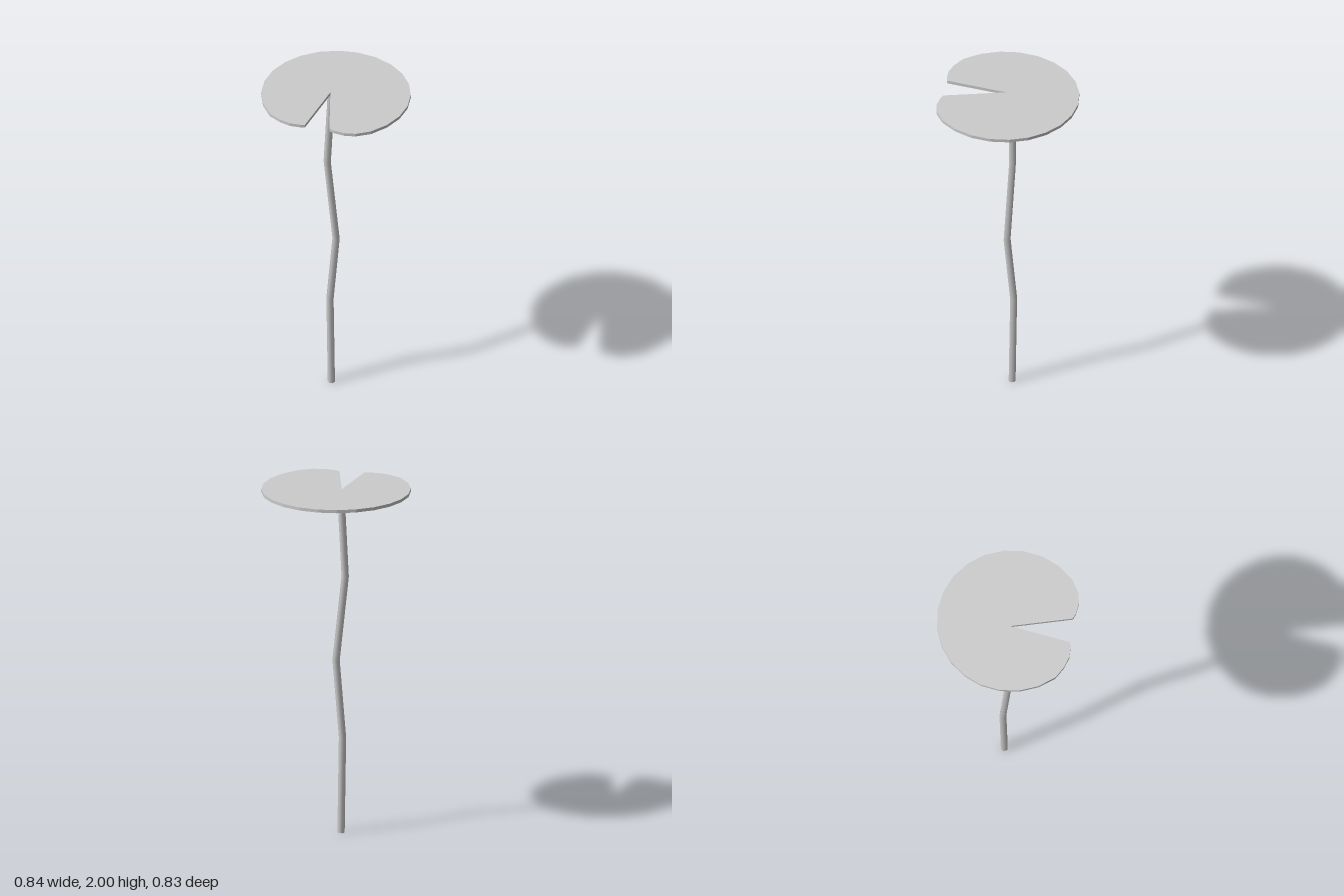
import * as THREE from 'three';
import { mergeVertices } from 'three/addons/utils/BufferGeometryUtils.js';

const material = new THREE.MeshStandardMaterial({ color: 0xcccccc });

// Thin round leaf with a notch cut to its middle; outline in (x, z)
function makeLeaf() {
  const outline = [];
  for (let k = 0; k <= 18; k++) {
    const a = THREE.MathUtils.degToRad(167.8 + 15 * k);
    outline.push([0.42 * Math.cos(a), 0.42 * Math.sin(a)]);
  }
  // rounded lobe, notch, rounded lobe
  outline.push([0, 0.41], [-0.059, 0.387], [-0.108, 0.347], [-0.128, 0.32], [-0.027, -0.02],
    [-0.25, 0.248], [-0.275, 0.241], [-0.329, 0.21], [-0.372, 0.16]);
  const shape = new THREE.Shape(outline.map(([x, z]) => new THREE.Vector2(x, -z)));
  const geometry = new THREE.ExtrudeGeometry(shape, { depth: 0.018, bevelEnabled: false });
  geometry.rotateX(-Math.PI / 2).translate(0, 1.982, 0);
  const leaf = new THREE.Mesh(geometry, material);
  leaf.name = 'leafPad';
  return leaf;
}

// Crooked six-sided stem: one cylinder whose rings are shifted onto the joints
function makeStem() {
  const joints = [[-0.013, 0, -0.05], [-0.018, 0.56, -0.061], [0.004, 1, -0.013],
    [-0.034, 1.5, -0.061], [-0.013, 1.985, -0.048]];
  const last = joints.length - 1;
  let geometry = new THREE.CylinderGeometry(0.021, 0.021, last, 6, last);
  const p = geometry.attributes.position;
  for (let i = 0; i < p.count; i++) {
    const [x, y, z] = joints[Math.round(p.getY(i) + last / 2)];
    p.setXYZ(i, p.getX(i) + x, y, p.getZ(i) + z);
  }
  // weld the seam for smooth sides
  geometry.deleteAttribute('uv');
  geometry = mergeVertices(geometry);
  const stem = new THREE.Mesh(geometry, material);
  stem.name = 'stem';
  return stem;
}

export function createModel() {
  const group = new THREE.Group();
  group.name = 'lilyPad';
  group.add(makeLeaf(), makeStem());
  return group;
}
